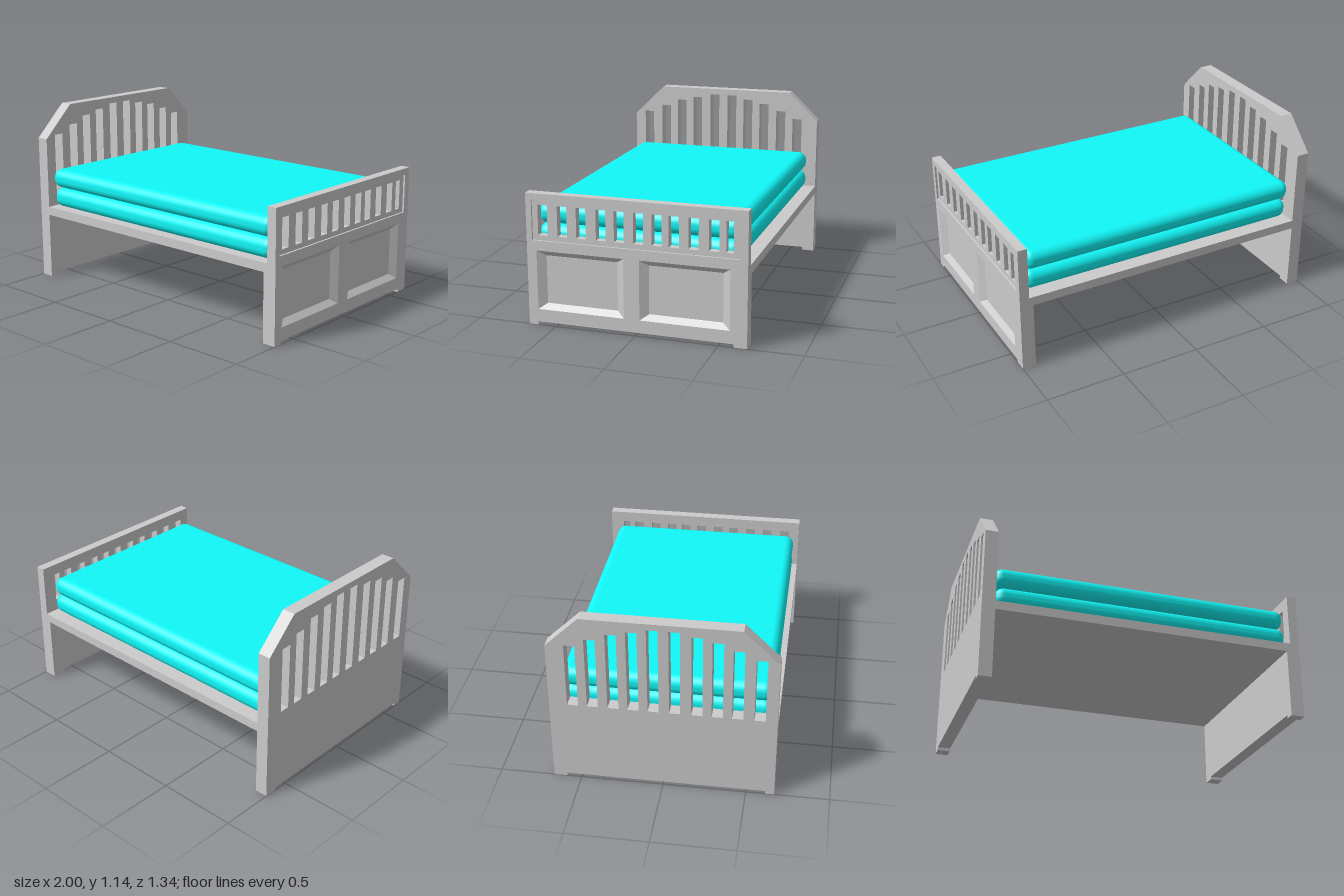
import * as THREE from 'three';
import { RoundedBoxGeometry } from 'three/addons/geometries/RoundedBoxGeometry.js';

const grey = new THREE.MeshStandardMaterial({ color: 0xcccccc, flatShading: true });
const cyan = new THREE.MeshStandardMaterial({ color: 0x11f8f8 });

const rect = (u0, v0, u1, v1) => [[u0, v0], [u1, v0], [u1, v1], [u0, v1]];
const toPoints = (list) => list.map(([u, v]) => new THREE.Vector2(u, v));

// Board standing across the bed: outline in (u = -z, v = y), thick from x0 to x1
function board(name, outline, holes, x0, x1) {
  const shape = new THREE.Shape(toPoints(outline));
  holes.forEach((h) => shape.holes.push(new THREE.Path(toPoints(h))));
  const geo = new THREE.ExtrudeGeometry(shape, { depth: x1 - x0, bevelEnabled: false });
  geo.rotateY(Math.PI / 2);
  geo.translate(x0, 0, 0);
  const mesh = new THREE.Mesh(geo, grey);
  mesh.name = name;
  return mesh;
}

// Four sloping faces from an outer rectangle at xOut to an inner one at xIn
function bevelRing(outer, inner, xOut, xIn) {
  const pos = [];
  const put = ([u, v], x) => pos.push(x, v, -u);
  for (let i = 0; i < 4; i++) {
    const j = (i + 1) % 4;
    put(outer[i], xOut); put(outer[j], xOut); put(inner[j], xIn);
    put(outer[i], xOut); put(inner[j], xIn); put(inner[i], xIn);
  }
  const geo = new THREE.BufferGeometry();
  geo.setAttribute('position', new THREE.Float32BufferAttribute(pos, 3));
  geo.computeVertexNormals();
  const mesh = new THREE.Mesh(geo, grey);
  mesh.name = 'panelBevel';
  return mesh;
}

// Bottom edge with a small foot left at each end
const feet = [[-0.67, 0], [-0.615, 0], [-0.615, 0.02], [0.59, 0.02], [0.59, 0], [0.67, 0]];

function createHeadboard() {
  const outline = [...feet, [0.67, 0.945], [0.47, 1.14], [-0.46, 1.14], [-0.67, 0.935]];
  const tops = [0.955, 1.005, 1.05, 1.075, 1.1];
  const starts = [-0.6, -0.471, -0.353, -0.235, -0.106, 0.02, 0.138, 0.256, 0.378, 0.496];
  const slots = starts.map((u, i) => rect(u, 0.54, u + 0.065, tops[Math.min(i, 9 - i)]));
  return board('headboard', outline, slots, -1, -0.92);
}

function createFootboard() {
  const group = new THREE.Group();
  group.name = 'footboard';
  const outline = [...feet, [0.67, 0.81], [-0.67, 0.81]];
  const starts = [-0.6, -0.478, -0.36, -0.238, -0.127, -0.01, 0.102, 0.203, 0.32, 0.44, 0.54];
  const slots = starts.map((u, i) => rect(u, 0.555, u + (i === 10 ? 0.044 : 0.06), 0.74));
  const panels = [-0.61, 0.027].map((u) => ({
    outer: rect(u, 0.099, u + 0.541, 0.463),
    inner: rect(u + 0.05, 0.133, u + 0.494, 0.43),
  }));
  const openings = panels.map((p) => p.outer);

  // Face frame, slotted layer and core stacked from outside to inside
  group.add(
    board('faceFrame', outline, [rect(-0.635, 0.525, 0.625, 0.77), ...openings], 0.988, 1),
    board('slattedLayer', outline, [...slots, ...openings], 0.97, 0.988),
    board('core', outline, slots, 0.94, 0.97),
    board('lowerBacking', [...feet, [0.67, 0.46], [-0.67, 0.46]], [], 0.915, 0.94),
  );
  panels.forEach((p) => group.add(bevelRing(p.outer, p.inner, 1, 0.97)));
  return group;
}

function createMattress(name, x0, x1, y0, y1) {
  const geo = new RoundedBoxGeometry(x1 - x0, y1 - y0, 1.245, 6, 0.055);
  const mesh = new THREE.Mesh(geo, cyan);
  mesh.name = name;
  mesh.position.set((x0 + x1) / 2, (y0 + y1) / 2, 0.013);
  return mesh;
}

export function createModel() {
  const bed = new THREE.Group();
  bed.name = 'bed';

  // Platform between the two end boards
  const platform = new THREE.Mesh(new THREE.BoxGeometry(1.86, 0.055, 1.34), grey);
  platform.name = 'platform';
  platform.position.set(0.01, 0.4525, 0);

  bed.add(
    createHeadboard(),
    createFootboard(),
    platform,
    createMattress('lowerMattress', -0.915, 0.935, 0.48, 0.605),
    createMattress('upperMattress', -0.925, 0.928, 0.607, 0.73),
  );
  return bed;
}
